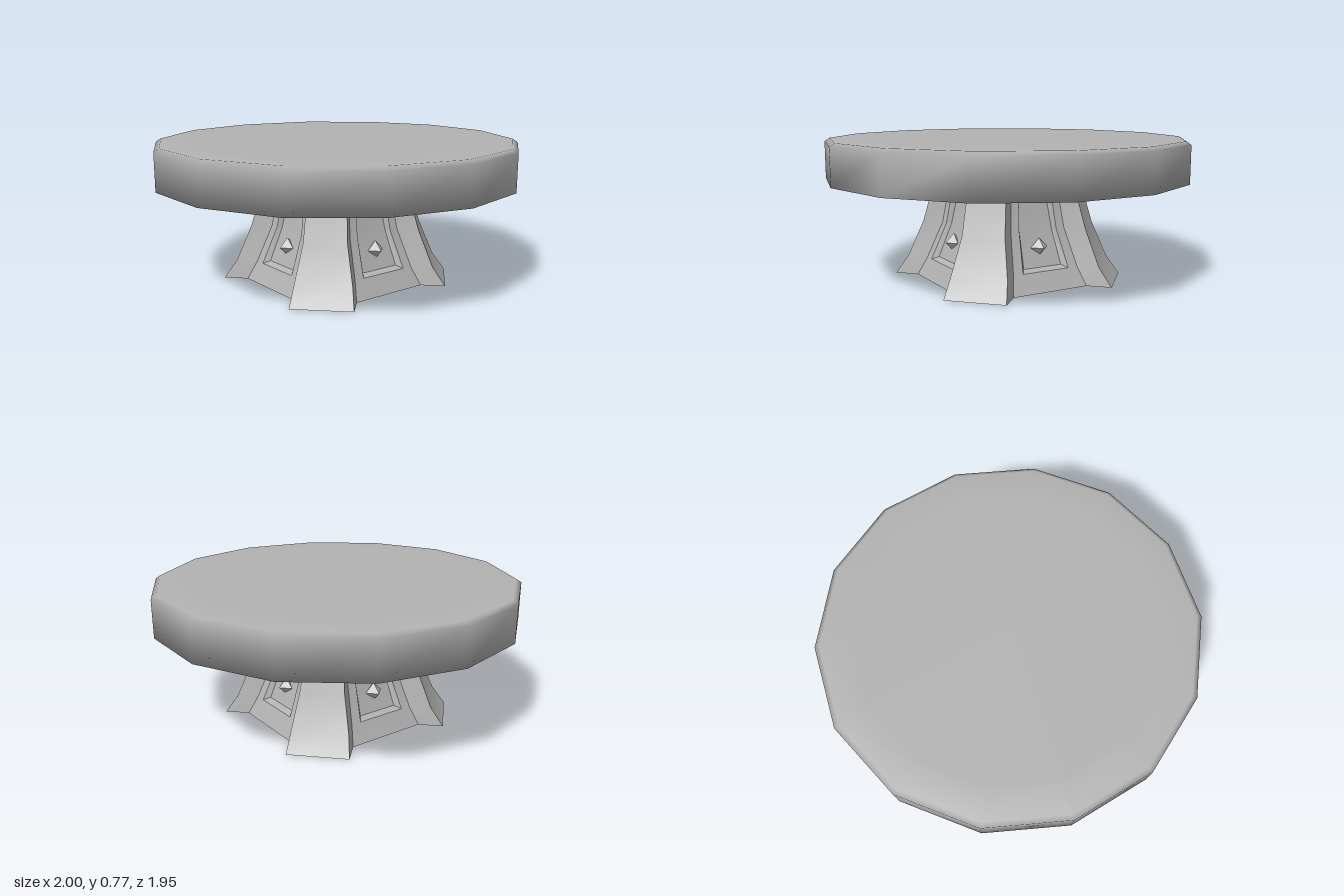
import * as THREE from 'three';

const stone = new THREE.MeshStandardMaterial({ color: 0xb2b2b2 });
stone.name = 'stone grey';

function geometry(points, index, flat = false) {
  let g = new THREE.BufferGeometry();
  g.setAttribute('position', new THREE.Float32BufferAttribute(points.flat(), 3));
  g.setIndex(index);
  if (flat) g = g.toNonIndexed();
  g.computeVertexNormals();
  return g;
}

// Surface from rows of points, bottom to top, each row left to right
function sheet(rows, skip = () => false) {
  const n = rows[0].length, index = [];
  for (let r = 0; r < rows.length - 1; r++) {
    for (let c = 0; c < n - 1; c++) {
      if (skip(r, c)) continue;
      const a = r * n + c, b = a + 1, d = a + n, e = d + 1;
      index.push(a, b, e, a, e, d);
    }
  }
  return geometry(rows.flat(), index);
}

function add(parent, name, geo) {
  const m = new THREE.Mesh(geo, stone);
  m.name = name;
  parent.add(m);
  return m;
}

// Fourteen-sided slab with a softly shaded bevelled rim
function slabGeometry() {
  const N = 14, points = [], index = [];
  const rings = [[1, 0.555], [1, 0.757], [0.972, 0.775], [0.82, 0.775]];
  for (const [r, y] of rings) {
    for (let i = 0; i < N; i++) {
      const a = (i / N) * Math.PI * 2;
      points.push([r * Math.cos(a), y, -r * Math.sin(a)]);
    }
  }
  const centre = points.push([0, 0.775, 0]) - 1;
  for (let i = 0; i < N; i++) {
    const j = (i + 1) % N;
    for (let k = 0; k < 3; k++) {
      const a = k * N + i, b = k * N + j;
      index.push(a, b, b + N, a, b + N, a + N);
    }
    index.push(3 * N + i, 3 * N + j, centre);
  }
  // Underside
  for (let k = 0; k < 6; k++) {
    const i = (1 - k + N) % N, i2 = (i - 1 + N) % N, j = 2 + k, j2 = j + 1;
    index.push(i2, j2, j);
    if (k > 0 || i !== j) index.push(i2, j, i);
  }
  return geometry(points, index);
}

// Pedestal cross-sections: height, far and near leg corner, panel half width
const LEVELS = [
  [0, 0.55, 0.32, 0.225],
  [0.1, 0.49, 0.28, 0.197],
  [0.3, 0.407, 0.247, 0.165],
  [0.5, 0.36, 0.214, 0.145],
  [0.555, 0.345, 0.21, 0.14],
].map(([y, far, near, half]) => ({ y, far, near, half, depth: far - near + half }));

// Recessed frame: outer half widths per level, and the inner outline
const FRAME = [0.15, 0.14, 0.115, 0.1, 0.095];
const FLOOR = [[0.115, 0.115, 0.372], [0.1, 0.3, 0.3], [0.085, 0.478, 0.265]];

function buildPanel() {
  const g = new THREE.Group();
  g.name = 'panel';
  // Curved face with an opening
  const face = LEVELS.map(({ y, half, depth }, i) =>
    [-half, -FRAME[i], FRAME[i], half].map((x) => [x, y, depth]));
  add(g, 'panelFace', sheet(face, (r, c) => c === 1 && (r === 1 || r === 2)));

  // Bevelled edges of the recess
  const outer = [1, 2, 3].map((i) => [FRAME[i], LEVELS[i].y, LEVELS[i].depth]);
  const loop = (pts) => [
    ...pts, ...[...pts].reverse().map(([x, y, z]) => [-x, y, z]),
  ];
  const o = loop(outer), n = loop(FLOOR), index = [];
  for (let i = 0; i < 6; i++) {
    const j = (i + 1) % 6;
    index.push(i, j, j + 6, i, j + 6, i + 6);
  }
  add(g, 'recessBevel', geometry([...o, ...n], index, true));
  add(g, 'recessFloor', sheet(FLOOR.map(([x, y, z]) => [[-x, y, z], [x, y, z]])));

  // Faceted stud
  const stud = add(g, 'stud', new THREE.OctahedronGeometry(0.05));
  stud.position.set(0, 0.215, 0.335);
  return g;
}

function buildLeg() {
  const g = new THREE.Group();
  g.name = 'leg';
  const root = ({ y, half, depth }) => [half, y, depth];
  const cornerA = ({ y, far, near }) => [near, y, far];
  const cornerB = ({ y, far, near }) => [far, y, near];
  const rootB = ({ y, half, depth }) => [depth, y, half];
  const strip = (l, r) => sheet(LEVELS.map((s) => [l(s), r(s)]));
  add(g, 'legOuterFace', strip(cornerA, cornerB));
  add(g, 'legSideA', strip(root, cornerA));
  add(g, 'legSideB', strip(cornerB, rootB));
  return g;
}

export function createModel() {
  const model = new THREE.Group();
  model.name = 'pedestalTable';
  add(model, 'tableTop', slabGeometry());

  const pedestal = new THREE.Group();
  pedestal.name = 'pedestal';
  model.add(pedestal);

  const { far, near, half, depth } = LEVELS[0];
  const outline = [];
  for (let k = 0; k < 4; k++) {
    const panel = buildPanel(), leg = buildLeg();
    panel.rotation.y = leg.rotation.y = (k * Math.PI) / 2;
    pedestal.add(panel, leg);
    for (const [x, y] of [[depth, -half], [depth, half], [far, near], [near, far]]) {
      outline.push(new THREE.Vector2(x, y).rotateAround(new THREE.Vector2(), (k * Math.PI) / 2));
    }
  }
  // Flat foot of the pedestal
  const foot = new THREE.ShapeGeometry(new THREE.Shape(outline));
  foot.rotateX(Math.PI / 2);
  add(pedestal, 'footBase', foot);
  return model;
}
